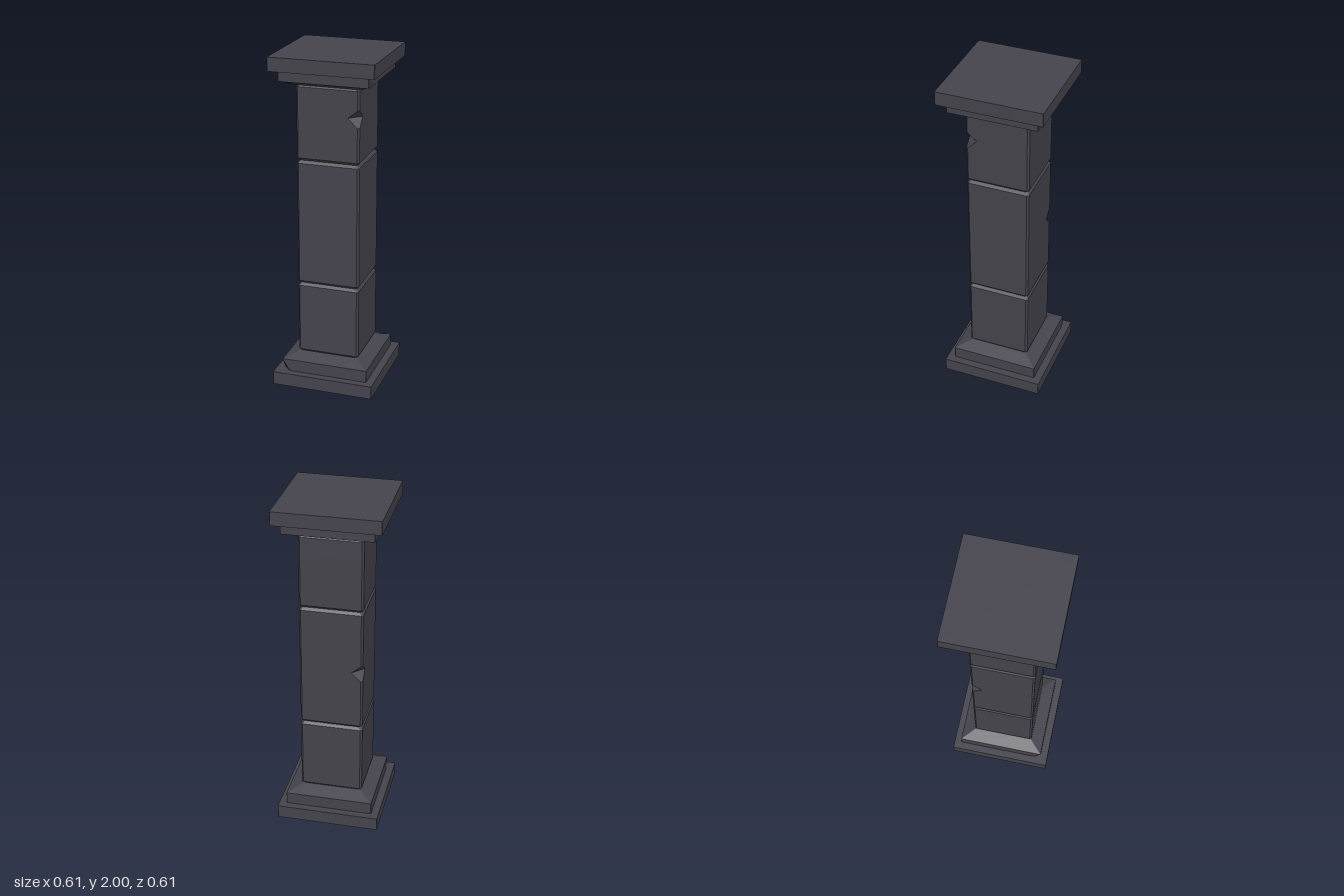
import * as THREE from 'three';

const material = new THREE.MeshStandardMaterial({ color: 0x45434c, flatShading: true });

// Square cross-section with cut corners; corners run (+x+z), (+x-z), (-x-z), (-x+z)
function section({ y, h, cut, chip = {} }) {
  const points = [];
  for (let i = 0; i < 4; i++) {
    const c = chip[i] ?? cut;
    for (let [x, z] of [[h - c, h], [h, h - c]]) {
      for (let k = 0; k < i; k++) [x, z] = [z, -x];
      points.push([x, y, z]);
    }
  }
  return points;
}

// Skin a stack of sections and close both ends
function loft(name, levels) {
  const rings = levels.map(section);
  const pos = [];
  const tri = (a, b, c) => pos.push(...a, ...b, ...c);
  for (let r = 0; r < rings.length - 1; r++) {
    const low = rings[r], up = rings[r + 1];
    for (let i = 0; i < 8; i++) {
      const j = (i + 1) % 8;
      tri(low[i], low[j], up[j]);
      tri(low[i], up[j], up[i]);
    }
  }
  const bottom = rings[0], top = rings[rings.length - 1];
  for (let i = 1; i < 7; i++) {
    tri(bottom[0], bottom[i + 1], bottom[i]);
    tri(top[0], top[i], top[i + 1]);
  }
  const geometry = new THREE.BufferGeometry();
  geometry.setAttribute('position', new THREE.Float32BufferAttribute(pos, 3));
  geometry.computeVertexNormals();
  const mesh = new THREE.Mesh(geometry, material);
  mesh.name = name;
  return mesh;
}

// Shaft block with bevelled ends and an optional chipped corner
function block(name, y0, y1, chip) {
  const h = 0.186, cut = 0.011, bevel = 0.016;
  const levels = [
    { y: y0, h: h - 0.014, cut },
    { y: y0 + bevel, h, cut },
    { y: y1 - bevel, h, cut },
    { y: y1, h: h - 0.014, cut },
  ];
  if (chip) {
    levels.splice(2, 0,
      { y: chip.y - 0.055, h, cut },
      { y: chip.y, h, cut, chip: { [chip.corner]: 0.066 } },
      { y: chip.y + 0.045, h, cut });
  }
  return loft(name, levels);
}

export function createModel() {
  const group = new THREE.Group();
  group.name = 'stonePillar';
  const cut = 0.002;

  // Base: plinth, then a sloped step with one worn corner
  group.add(loft('basePlinth', [{ y: 0, h: 0.307, cut }, { y: 0.08, h: 0.307, cut }]));
  group.add(loft('baseStep', [
    { y: 0.08, h: 0.262, cut, chip: { 3: 0.045 } },
    { y: 0.145, h: 0.262, cut },
    { y: 0.153, h: 0.262, cut },
    { y: 0.186, h: 0.172, cut },
  ]));

  // Shaft: three stacked blocks
  group.add(block('lowerBlock', 0.182, 0.63));
  group.add(block('middleBlock', 0.63, 1.386, { corner: 2, y: 1.0 }));
  group.add(block('upperBlock', 1.386, 1.832, { corner: 0, y: 1.66 }));

  // Capital: sloped step under a square slab
  group.add(loft('capitalStep', [
    { y: 1.825, h: 0.18, cut },
    { y: 1.857, h: 0.262, cut },
    { y: 1.92, h: 0.262, cut },
  ]));
  group.add(loft('capitalSlab', [{ y: 1.92, h: 0.307, cut }, { y: 2, h: 0.307, cut }]));
  return group;
}
